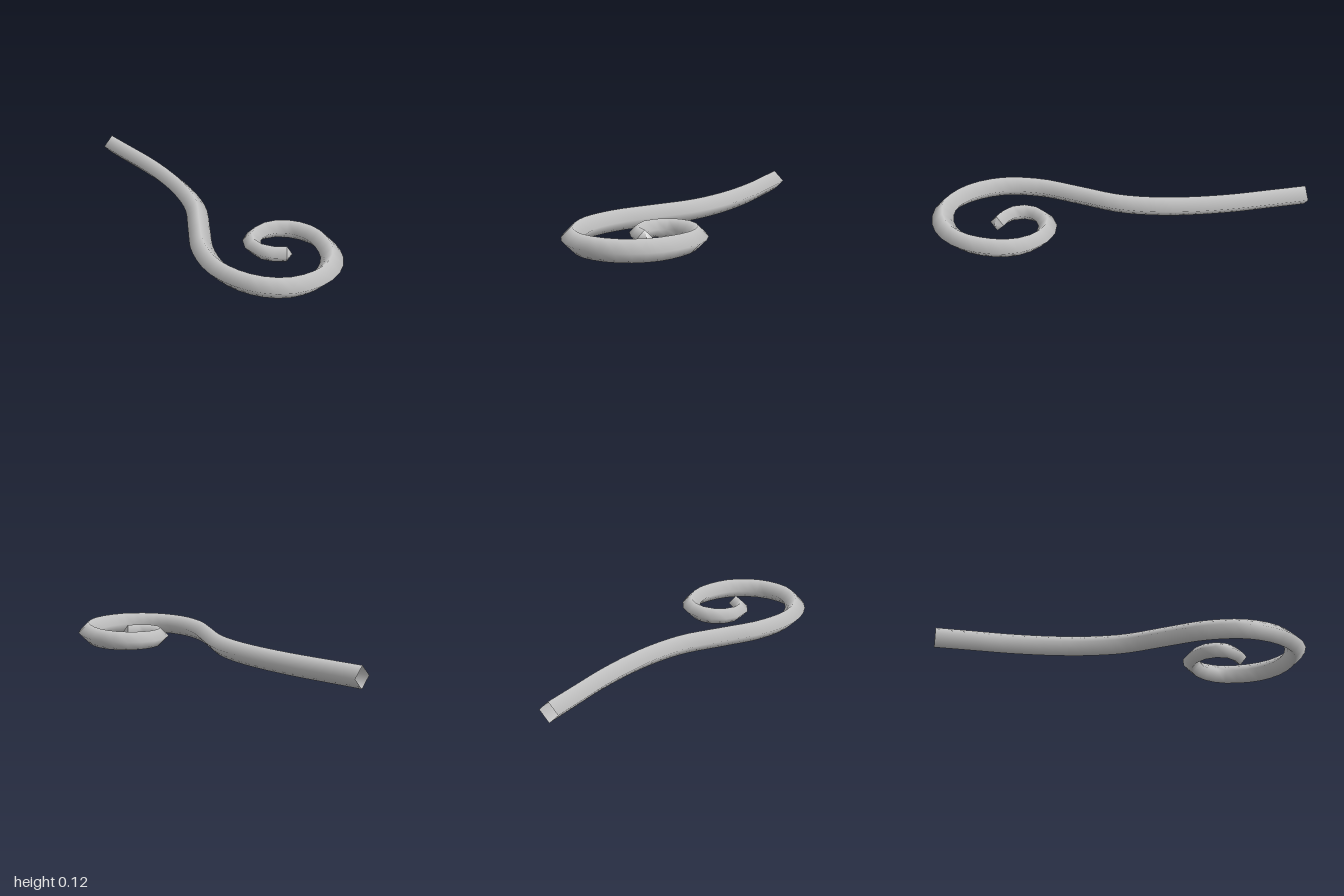
import * as THREE from 'three';

const RADIUS = 0.0575, TIP_RADIUS = 0.042, SEGMENTS = 52, SIDES = 4;

// Centre line in plan (x, z): straight shank, S-bend, then inward scroll
const PATH = [
  [0.125, -1], [0.125, -0.8], [0.125, -0.6], [0.11, -0.4], [0.075, -0.2],
  [0.005, 0], [-0.125, 0.2], [-0.245, 0.39], [-0.302, 0.6], [-0.26, 0.79],
  [-0.15, 0.91], [0, 0.942], [0.13, 0.905], [0.235, 0.81], [0.302, 0.63],
  [0.272, 0.5], [0.2, 0.43], [0.11, 0.41], [0.025, 0.445], [-0.022, 0.53],
  [0, 0.61], [0.067, 0.667],
];

export function createModel() {
  const group = new THREE.Group();
  group.name = 'scrollHook';
  const material = new THREE.MeshStandardMaterial({ color: 0xcccccc, side: THREE.DoubleSide });

  const curve = new THREE.CatmullRomCurve3(
    PATH.map(([x, z]) => new THREE.Vector3(x, RADIUS, z)), false, 'centripetal');

  // Four-sided bar standing on an edge, open at the shank end
  const barGeometry = new THREE.TubeGeometry(curve, SEGMENTS, RADIUS, SIDES, false);
  const position = barGeometry.attributes.position;
  const vertex = new THREE.Vector3();
  for (let i = 0; i <= SEGMENTS; i++) {
    // Slim the bar gradually through the inner turn
    const t = THREE.MathUtils.clamp((i / SEGMENTS - 0.74) / 0.26, 0, 1);
    const scale = THREE.MathUtils.lerp(1, TIP_RADIUS / RADIUS, t);
    const centre = curve.getPointAt(i / SEGMENTS);
    for (let j = 0; j <= SIDES; j++) {
      const k = i * (SIDES + 1) + j;
      vertex.fromBufferAttribute(position, k).sub(centre).multiplyScalar(scale).add(centre);
      position.setXYZ(k, vertex.x, vertex.y, vertex.z);
    }
  }
  const bar = new THREE.Mesh(barGeometry, material);
  bar.name = 'scrollBar';
  group.add(bar);

  // Short pointed end closing the inner scroll
  const tipLength = 0.028;
  const tangent = curve.getTangentAt(1);
  const tipGeometry = new THREE.ConeGeometry(TIP_RADIUS, tipLength, SIDES, 1, true);
  tipGeometry.translate(0, tipLength / 2, 0).rotateX(Math.PI / 2);
  const tip = new THREE.Mesh(tipGeometry, material);
  tip.name = 'scrollTip';
  tip.rotation.y = Math.atan2(tangent.x, tangent.z);
  tip.position.copy(curve.getPointAt(1));
  group.add(tip);

  return group;
}
